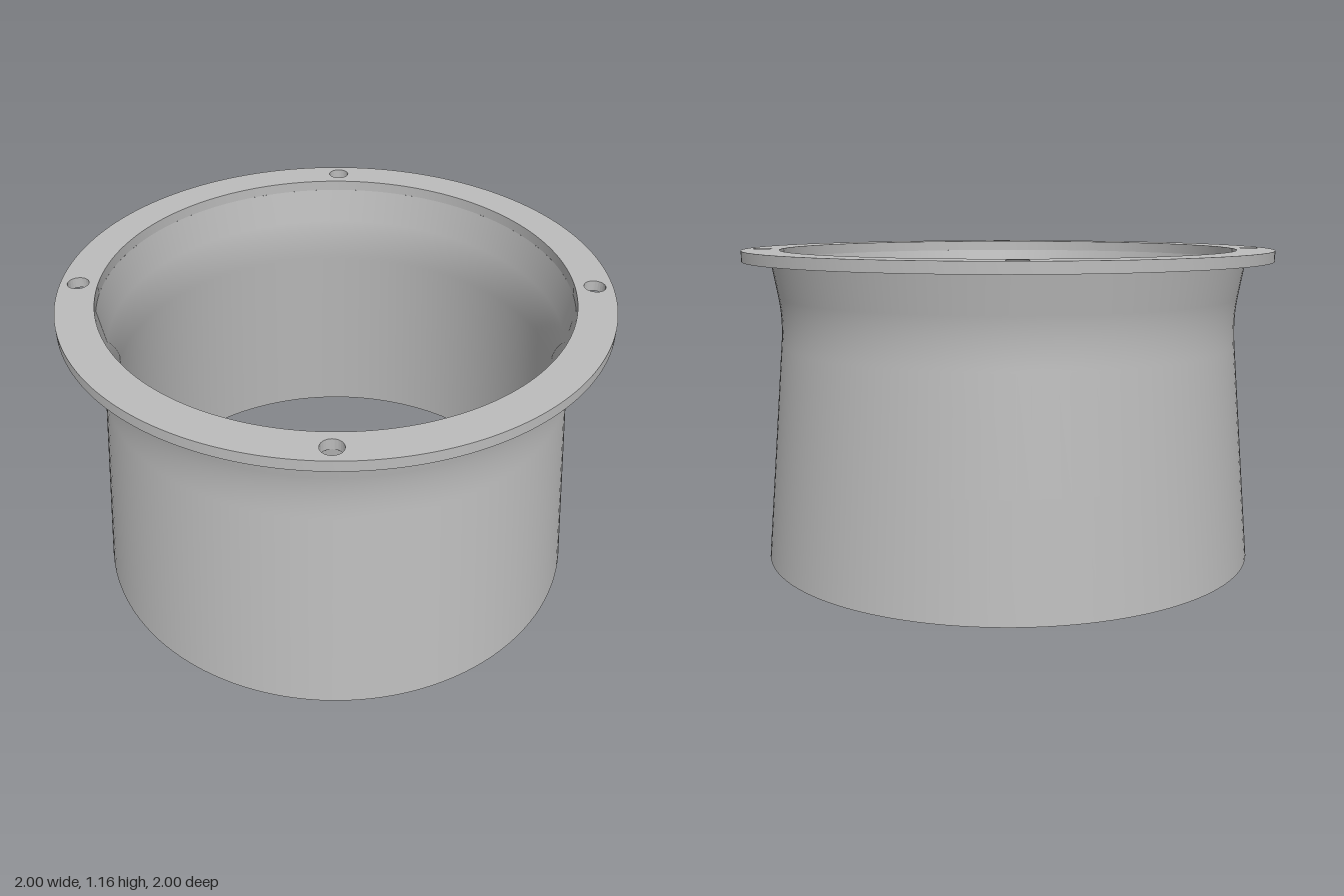
import * as THREE from 'three';
import { toCreasedNormals } from 'three/addons/utils/BufferGeometryUtils.js';

const SEGMENTS = 128;
const WALL = 0.033;
const FLANGE_BOTTOM = 1.125;
const FLANGE_TOP = 1.165;

// Outer wall profile: tapering sleeve, rounded neck, flare up to the flange
function wallProfile(inset) {
  const v = (x, y) => new THREE.Vector2(x - inset, y);
  const neck = new THREE.QuadraticBezierCurve(v(0.866, 0.81), v(0.857, 0.91), v(0.871, 0.99));
  return [v(0.935, 0), v(0.9, 0.41), ...neck.getPoints(12), v(0.895, FLANGE_BOTTOM)];
}

function circle(PathType, x, y, radius) {
  const path = new PathType();
  path.absarc(x, y, radius, 0, Math.PI * 2, false);
  return path;
}

export function createModel() {
  const group = new THREE.Group();
  group.name = 'flangedCollar';
  const metal = new THREE.MeshStandardMaterial({ color: 0xbcbcbc });
  metal.name = 'grey metal';

  const add = (name, geometry) => {
    const mesh = new THREE.Mesh(geometry, metal);
    mesh.name = name;
    group.add(mesh);
  };
  const lathe = (points) => new THREE.LatheGeometry(points, SEGMENTS);

  // Thin sleeve: outside, inside and the ring closing its lower edge
  const outer = wallProfile(0);
  const inner = wallProfile(WALL);
  add('sleeveOuterWall', lathe(outer));
  add('sleeveInnerWall', lathe([...inner].reverse()));
  add('sleeveBottomRim', lathe([inner[0], outer[0]]));

  // Flange ring with four bolt holes on the diagonals
  const ring = circle(THREE.Shape, 0, 0, 1);
  ring.holes.push(circle(THREE.Path, 0, 0, 0.895 - WALL));
  for (const sx of [-1, 1]) {
    for (const sy of [-1, 1]) ring.holes.push(circle(THREE.Path, sx * 0.661, sy * 0.661, 0.039));
  }
  const flange = new THREE.ExtrudeGeometry(ring, {
    depth: FLANGE_TOP - FLANGE_BOTTOM,
    bevelEnabled: false,
    curveSegments: SEGMENTS,
  });
  flange.rotateX(-Math.PI / 2);
  flange.translate(0, FLANGE_BOTTOM, 0);
  add('boltFlange', toCreasedNormals(flange, 0.6));

  return group;
}
